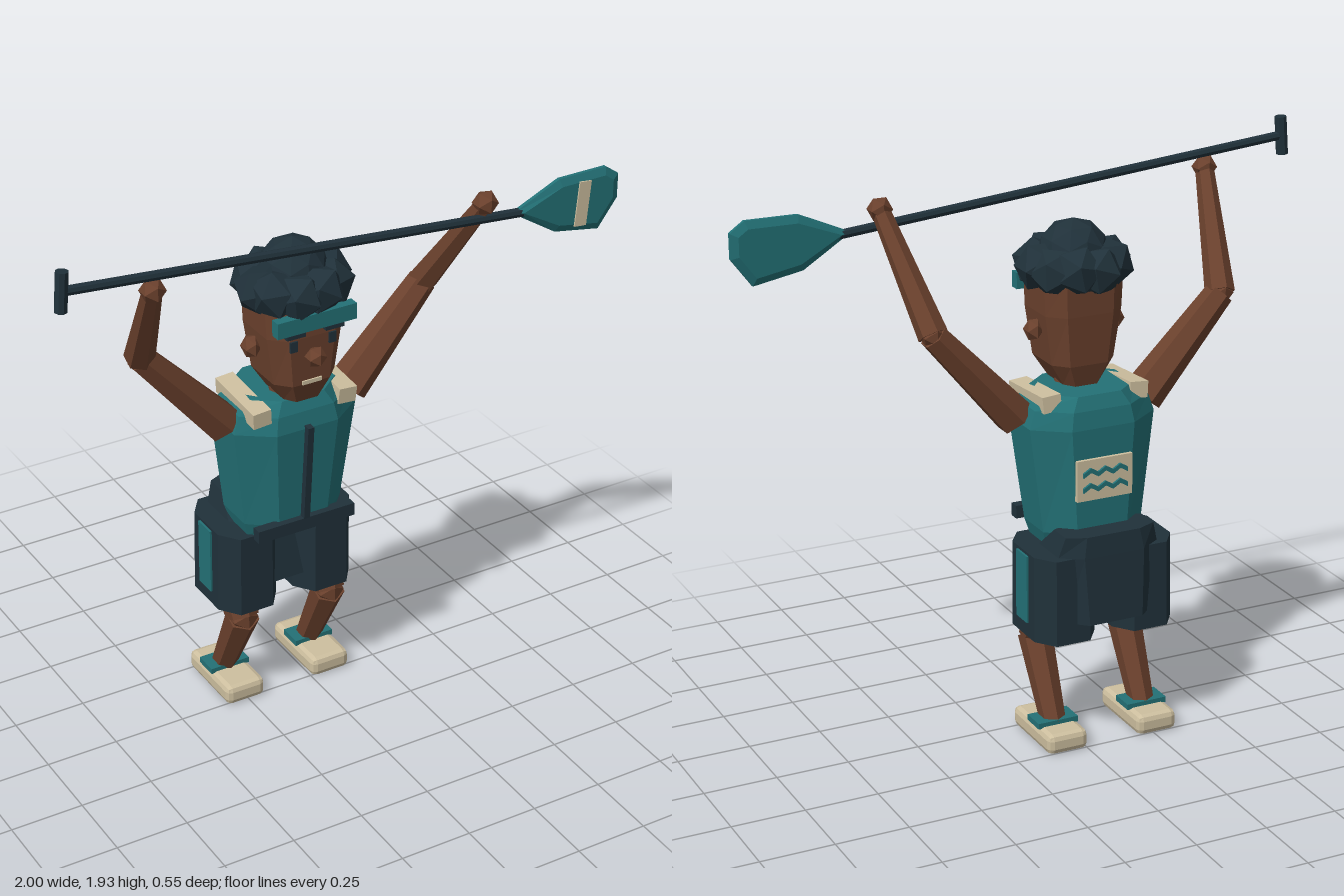
import * as THREE from 'three';
import { RoundedBoxGeometry } from 'three/addons/geometries/RoundedBoxGeometry.js';

const mat = (name, color) => {
  const m = new THREE.MeshStandardMaterial({ color, flatShading: true });
  m.name = name;
  return m;
};

const CX = -0.095; // centre line of the body
const V = (x, y, z) => new THREE.Vector3(x, y, z);

// Stacked bevelled rectangles [y, halfWidth, zBack, zFront], closed at both ends
function loft(sections, bevel = 0.5) {
  const rings = sections.map(([y, hx, z0, z1]) => {
    const cz = (z0 + z1) / 2, hz = (z1 - z0) / 2, b = bevel;
    return [[1, -b], [1, b], [b, 1], [-b, 1], [-1, b], [-1, -b], [-b, -1], [b, -1]]
      .map(([x, z]) => [x * hx, y, cz + z * hz]);
  });
  const pos = [];
  const tri = (...p) => p.forEach((q) => pos.push(...q));
  const top = rings[rings.length - 1], low = rings[0];
  for (let i = 0; i < 8; i++) {
    const j = (i + 1) % 8;
    for (let k = 0; k < rings.length - 1; k++) {
      const a = rings[k], c = rings[k + 1];
      tri(a[i], c[i], a[j]);
      tri(a[j], c[i], c[j]);
    }
    if (i > 0 && i < 7) {
      tri(top[0], top[j], top[i]);
      tri(low[0], low[i], low[j]);
    }
  }
  const g = new THREE.BufferGeometry();
  g.setAttribute('position', new THREE.Float32BufferAttribute(pos, 3));
  g.computeVertexNormals();
  return g;
}

export function createModel() {
  const skin = mat('skin brown', 0x6b412d);
  const teal = mat('teal', 0x237176);
  const dark = mat('dark slate', 0x20313a);
  const cream = mat('cream', 0xcdbf9f);

  const model = new THREE.Group();
  model.name = 'paddler';
  const body = new THREE.Group();
  body.name = 'body';
  body.position.x = CX;
  model.add(body);

  const add = (parent, name, geo, m, x = 0, y = 0, z = 0) => {
    const mesh = new THREE.Mesh(geo, m);
    mesh.name = name;
    mesh.position.set(x, y, z);
    parent.add(mesh);
    return mesh;
  };
  const box = (parent, name, m, w, h, d, x, y, z) =>
    add(parent, name, new THREE.BoxGeometry(w, h, d), m, x, y, z);
  const limb = (parent, name, m, a, b, ra, rb, sides = 6) => {
    const d = b.clone().sub(a);
    const mesh = add(parent, name, new THREE.CylinderGeometry(rb, ra, d.length(), sides), m);
    mesh.position.copy(a).add(b).multiplyScalar(0.5);
    mesh.quaternion.setFromUnitVectors(V(0, 1, 0), d.normalize());
    return mesh;
  };

  // Vest with zip, belt and shoulder straps
  add(body, 'vest', loft([
    [0.68, 0.165, -0.145, 0.095], [0.73, 0.18, -0.17, 0.115],
    [1.09, 0.225, -0.175, 0.145], [1.15, 0.205, -0.165, 0.135], [1.195, 0.155, -0.145, 0.115],
  ]), teal);
  box(body, 'zip', dark, 0.022, 0.385, 0.025, 0, 0.91, 0.14).rotation.x = 0.08;
  box(body, 'belt', dark, 0.36, 0.045, 0.035, 0, 0.727, 0.122);

  // Back patch with two rippled bands
  const patch = new THREE.Group();
  patch.name = 'backPatch';
  patch.position.set(0, 0.92, -0.178);
  body.add(patch);
  box(patch, 'patchPlate', cream, 0.2, 0.14, 0.016, 0, 0, 0);
  for (const y of [0.026, -0.026]) {
    const wave = new THREE.Shape();
    const xs = [0, 1, 2, 3, 4, 5, 6];
    const ripple = (i) => (i % 2 ? 0.01 : -0.006);
    xs.forEach((i) => wave[i ? 'lineTo' : 'moveTo'](-0.08 + i * 0.0267, ripple(i) - 0.008));
    xs.reverse().forEach((i) => wave.lineTo(-0.08 + i * 0.0267, ripple(i) + 0.008));
    add(patch, 'ripple', new THREE.ExtrudeGeometry(wave, { depth: 0.009, bevelEnabled: false }),
      teal, 0, y, -0.016);
  }

  // Shorts seat
  add(body, 'shortsSeat', loft([
    [0.45, 0.16, -0.275, 0.02], [0.68, 0.18, -0.258, -0.02], [0.75, 0.16, -0.25, -0.11],
  ], 0.6), dark);

  // Head and neck
  add(body, 'neck', new THREE.CylinderGeometry(0.07, 0.08, 0.12, 8), skin, 0, 1.2, 0.03);
  add(body, 'head', loft([
    [1.195, 0.065, -0.05, 0.14], [1.27, 0.112, -0.07, 0.168],
    [1.44, 0.137, -0.08, 0.176], [1.56, 0.142, -0.08, 0.17],
  ], 0.6), skin);
  add(body, 'nose', new THREE.IcosahedronGeometry(0.036, 0), skin, 0, 1.375, 0.195);
  box(body, 'mouth', cream, 0.07, 0.013, 0.009, 0, 1.278, 0.17);
  box(body, 'headband', teal, 0.285, 0.055, 0.035, 0, 1.505, 0.188);

  // Hair: core, crown and a ring of faceted curls
  const hair = new THREE.Group();
  hair.name = 'hair';
  hair.position.set(0, 1.575, 0.048);
  body.add(hair);
  add(hair, 'hairCore', new THREE.IcosahedronGeometry(0.16, 1), dark).scale.y = 0.6;
  add(hair, 'crown', new THREE.IcosahedronGeometry(0.118, 1), dark, 0, 0.04, 0);
  const curls = 10;
  for (let i = 0; i < curls; i++) {
    const a = (i / curls) * Math.PI * 2;
    const curl = add(hair, 'curl', new THREE.IcosahedronGeometry(0.086, 0), dark,
      Math.cos(a) * 0.118, i % 2 ? 0.004 : 0.012, Math.sin(a) * 0.11);
    curl.rotation.set(i * 0.7, i * 1.3, 0);
  }

  // Paired parts
  for (const s of [-1, 1]) {
    const side = s > 0 ? 'left' : 'right';
    const strap = box(body, side + 'ShoulderStrap', cream, 0.065, 0.055, 0.25, s * 0.157, 1.168, 0.005);
    strap.rotation.set(0.07, 0, -s * 0.08);
    box(body, side + 'Eye', dark, 0.026, 0.037, 0.009, s * 0.07, 1.42, 0.177);
    box(body, side + 'Brow', dark, 0.066, 0.014, 0.025, s * 0.07, 1.464, 0.183);
    add(body, side + 'Ear', new THREE.IcosahedronGeometry(0.04, 0), skin, s * 0.147, 1.38, 0.04)
      .scale.x = 0.8;

    // Arms raised to the paddle
    const shoulder = V(s * 0.232, 1.108, 0), elbow = V(s * 0.518, 1.425, -0.002);
    const hand = V(s * 0.588, 1.785, 0.242);
    limb(body, side + 'UpperArm', skin, shoulder, elbow, 0.07, 0.048);
    add(body, side + 'Elbow', new THREE.IcosahedronGeometry(0.046, 0), skin, ...elbow);
    limb(body, side + 'Forearm', skin, elbow, hand, 0.05, 0.031);
    add(body, side + 'Hand', new THREE.IcosahedronGeometry(0.043, 0), skin, ...hand);

    // Shorts leg with side stripe
    add(body, side + 'ShortsLeg', loft([
      [0.385, 0.11, -0.247, 0.055], [0.68, 0.108, -0.24, 0.055],
    ], 0.55), dark, s * 0.142, 0, 0);
    box(body, side + 'Stripe', teal, 0.009, 0.235, 0.08, s * 0.253, 0.553, -0.094);

    // Bent leg and shoe
    const lx = s * 0.166, knee = V(lx, 0.335, -0.005);
    limb(body, side + 'Thigh', skin, V(lx, 0.5, -0.09), knee, 0.075, 0.056);
    add(body, side + 'Knee', new THREE.IcosahedronGeometry(0.054, 0), skin, ...knee);
    limb(body, side + 'Shin', skin, knee, V(lx, 0.06, -0.145), 0.058, 0.043);
    add(body, side + 'Shoe', new RoundedBoxGeometry(0.145, 0.07, 0.28, 1, 0.02), cream,
      lx, 0.036, -0.122);
    box(body, side + 'ShoeCollar', teal, 0.145, 0.02, 0.085, lx, 0.076, -0.14);
  }

  // Paddle: shaft, grip, blade and blade band
  const paddle = new THREE.Group();
  paddle.name = 'paddle';
  paddle.position.z = 0.243;
  model.add(paddle);
  limb(paddle, 'shaft', dark, V(-0.98, 1.86, 0), V(0.64, 1.718, 0), 0.016, 0.016, 8);
  limb(paddle, 'grip', dark, V(-0.984, 1.795, 0), V(-0.974, 1.925, 0), 0.021, 0.021, 8);
  const outline = new THREE.Shape([
    [0.595, 1.724], [0.76, 1.62], [0.93, 1.59], [1.0, 1.685],
    [1.0, 1.77], [0.95, 1.805], [0.77, 1.803],
  ].map(([x, y]) => new THREE.Vector2(x, y)));
  add(paddle, 'blade', new THREE.ExtrudeGeometry(outline, {
    depth: 0.012, bevelThickness: 0.012, bevelSize: 0.025, bevelOffset: -0.025, bevelSegments: 1,
  }), teal, 0, 0, -0.006);
  box(paddle, 'bladeBand', cream, 0.045, 0.155, 0.008, 0.855, 1.703, 0.019).rotation.z = -0.09;

  return model;
}
